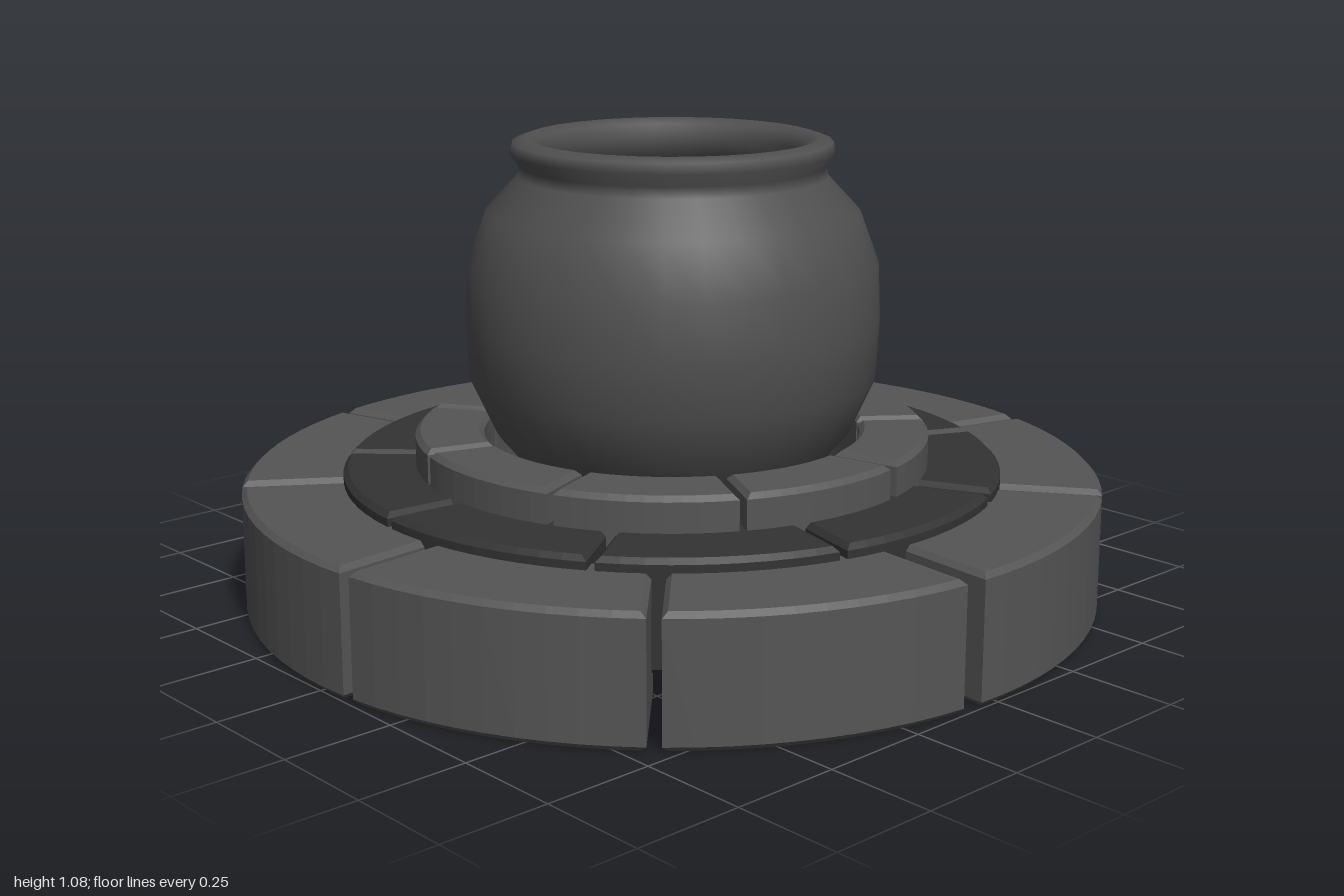
import * as THREE from 'three';

const stone = new THREE.MeshStandardMaterial({ color: 0x555555, flatShading: true });
const darkStone = new THREE.MeshStandardMaterial({ color: 0x333333, flatShading: true });
const clay = new THREE.MeshStandardMaterial({ color: 0x505050, side: THREE.DoubleSide });

const rad = THREE.MathUtils.degToRad;

// One bevelled arc block between two angles, with parallel gaps at both ends
function blockGeometry(inner, outer, y0, y1, from, to, gapFrom, gapTo) {
  const bevel = 0.012;
  const shape = new THREE.Shape();
  shape.absarc(0, 0, outer, from + gapFrom / outer, to - gapTo / outer, false);
  shape.absarc(0, 0, inner, to - gapTo / inner, from + gapFrom / inner, true);
  const geo = new THREE.ExtrudeGeometry(shape, {
    depth: y1 - y0 - 2 * bevel, curveSegments: 5,
    bevelThickness: bevel, bevelSize: bevel, bevelOffset: -bevel, bevelSegments: 1,
  });
  return geo.rotateX(Math.PI / 2).translate(0, y1 - bevel, 0);
}

// Ring of nine blocks; one joint can be wider than the rest
function blockRing({ name, inner, outer, y0, y1, start, gap, wide, material }) {
  const ring = new THREE.Group();
  ring.name = name;
  const count = 9;
  const halfGap = (i) => (i % count === wide ? gap * 0.85 : gap * 0.5);
  for (let i = 0; i < count; i++) {
    const from = rad(start + i * 40);
    const block = new THREE.Mesh(
      blockGeometry(inner, outer, y0, y1, from, from + rad(40), halfGap(i), halfGap(i + 1)),
      material,
    );
    block.name = name + 'Block' + (i + 1);
    ring.add(block);
  }
  return ring;
}

// Round-bottomed pot with a rolled rim and a hollow inside
function pot() {
  const profile = [
    [0, 0.19], [0.12, 0.195], [0.22, 0.225], [0.33, 0.3], [0.415, 0.4],
    [0.474, 0.53], [0.48, 0.66], [0.474, 0.79], [0.43, 0.91], [0.355, 0.99],
    [0.352, 1.015], [0.373, 1.045], [0.366, 1.068], [0.335, 1.078],
    [0.305, 1.066], [0.29, 1.035], [0.3, 0.99], [0.38, 0.89], [0.425, 0.78],
    [0.425, 0.54], [0.37, 0.42], [0.27, 0.31], [0.15, 0.255], [0, 0.24],
  ].map(([r, y]) => new THREE.Vector2(r, y));
  const mesh = new THREE.Mesh(new THREE.LatheGeometry(profile, 32), clay);
  mesh.name = 'pot';
  mesh.position.set(-0.005, 0, 0.008);
  return mesh;
}

export function createModel() {
  const model = new THREE.Group();
  model.name = 'potOnStoneRings';
  model.add(
    blockRing({ name: 'outerRing', inner: 0.71, outer: 1, y0: 0, y1: 0.29, start: 14.5, gap: 0.03, wide: 2, material: stone }),
    blockRing({ name: 'middleRing', inner: 0.53, outer: 0.768, y0: 0.07, y1: 0.32, start: 25, gap: 0.018, wide: 1, material: darkStone }),
    blockRing({ name: 'innerRing', inner: 0.44, outer: 0.6, y0: 0.22, y1: 0.4, start: -2, gap: 0.016, wide: 2, material: stone }),
    pot(),
  );
  return model;
}
